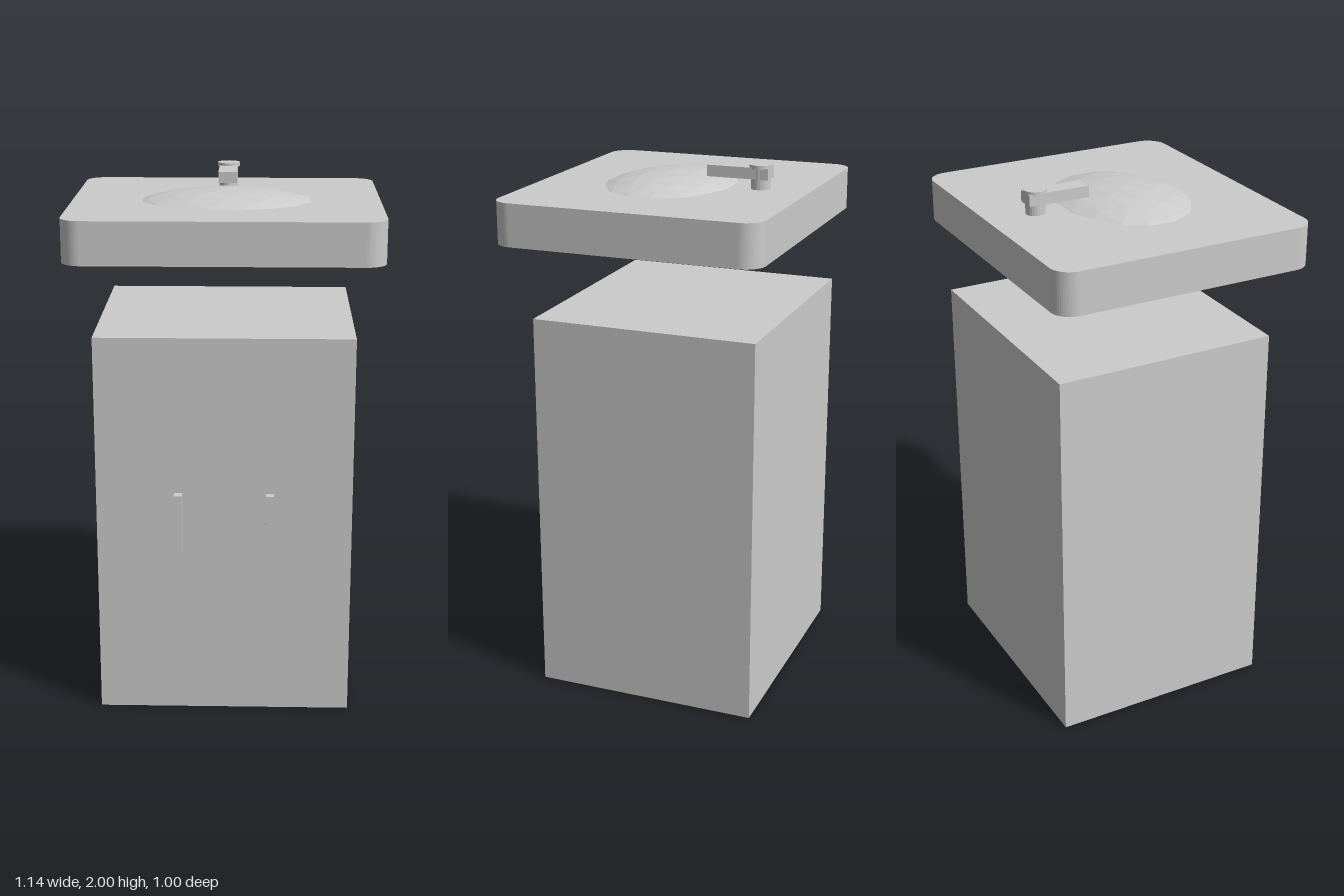
import * as THREE from 'three';

export function createModel() {
  const model = new THREE.Group();
  model.name = 'washbasinCabinet';
  const grey = new THREE.MeshStandardMaterial({ color: 0xcccccc, flatShading: true });
  grey.name = 'light grey';

  const add = (name, geometry, x, y, z) => {
    const mesh = new THREE.Mesh(geometry, grey);
    mesh.name = name;
    mesh.position.set(x, y, z);
    model.add(mesh);
    return mesh;
  };

  // Cabinet with two upright door handles
  add('cabinet', new THREE.BoxGeometry(0.95, 1.47, 0.85), 0, 0.735, -0.035);
  for (const side of [-1, 1]) {
    add(side > 0 ? 'leftHandle' : 'rightHandle',
      new THREE.BoxGeometry(0.03, 0.225, 0.035), side * 0.17, 0.767, 0.4075);
  }

  // Countertop: rounded rectangle extruded upwards
  const w = 0.57, d = 0.5, r = 0.075;
  const outline = new THREE.Shape();
  outline.absarc(w - r, d - r, r, 0, Math.PI / 2);
  outline.absarc(-w + r, d - r, r, Math.PI / 2, Math.PI);
  outline.absarc(-w + r, -d + r, r, Math.PI, Math.PI * 1.5);
  outline.absarc(w - r, -d + r, r, Math.PI * 1.5, Math.PI * 2);
  const slab = new THREE.ExtrudeGeometry(outline, { depth: 0.157, bevelEnabled: false, curveSegments: 8 });
  slab.rotateX(-Math.PI / 2);
  add('countertop', slab, 0, 1.753, 0);

  // Faceted basin passing through the countertop
  const bowl = new THREE.IcosahedronGeometry(1, 3);
  bowl.scale(0.425, 0.133, 0.318);
  add('basin', bowl, 0, 1.822, 0.035);

  // Tap: stem, cap and square spout
  add('tapStem', new THREE.CylinderGeometry(0.036, 0.036, 0.08, 24), 0, 1.948, -0.312);
  add('tapCap', new THREE.CylinderGeometry(0.043, 0.043, 0.015, 24), 0, 1.9925, -0.312);
  add('tapSpout', new THREE.BoxGeometry(0.07, 0.042, 0.235), 0, 1.969, -0.2325);

  return model;
}
